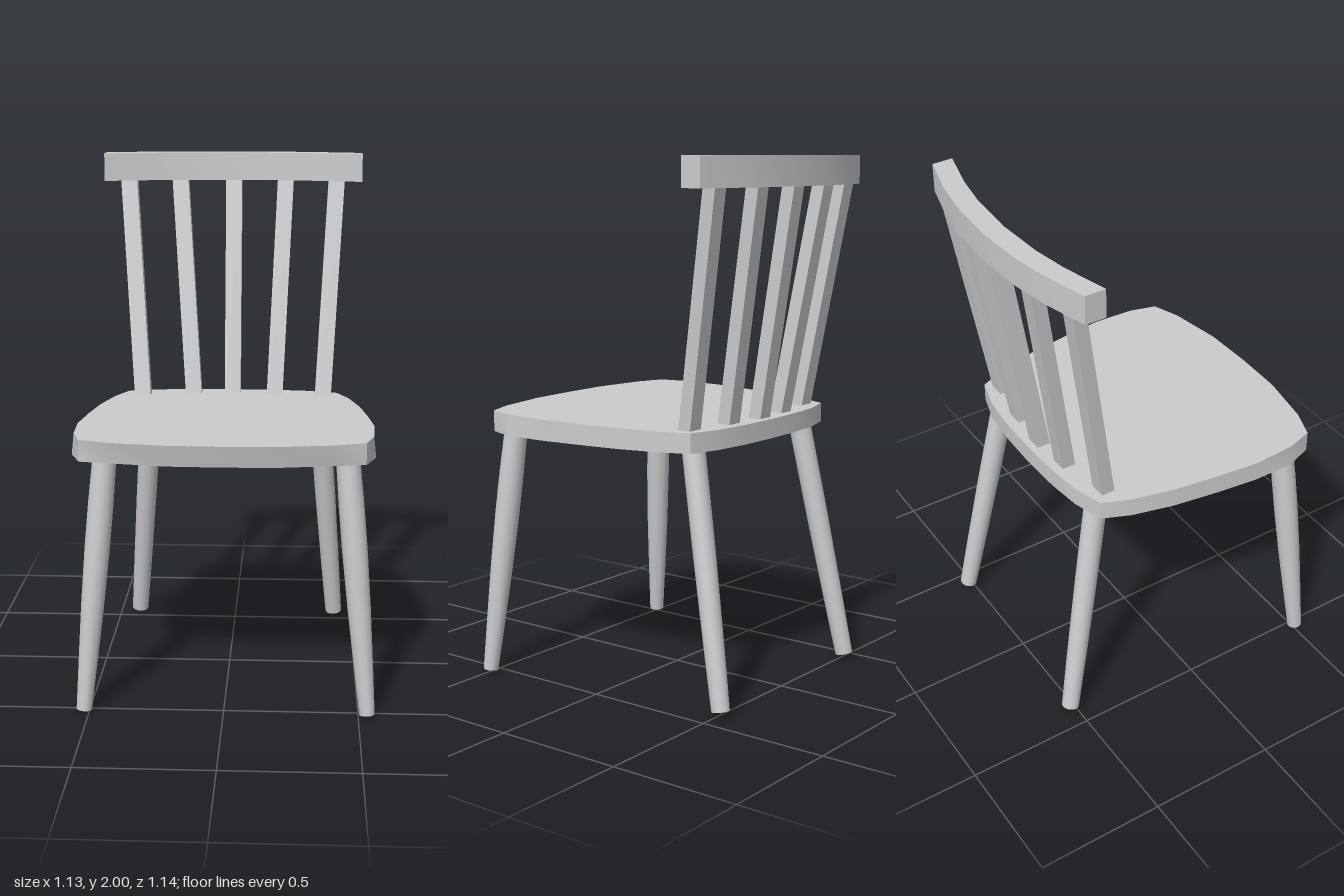
import * as THREE from 'three';
import { toCreasedNormals } from 'three/addons/utils/BufferGeometryUtils.js';

const material = new THREE.MeshStandardMaterial({ color: 0xcccccc });

function addMesh(group, name, geometry) {
  const mesh = new THREE.Mesh(geometry, material);
  mesh.name = name;
  group.add(mesh);
}

// Upright slab from an outline of [x, z] points
function slab(outline, y, height) {
  const shape = new THREE.Shape(outline.map(([x, z]) => new THREE.Vector2(x, -z)));
  return new THREE.ExtrudeGeometry(shape, { depth: height, bevelEnabled: false })
    .rotateX(-Math.PI / 2)
    .translate(0, y, 0);
}

// Seat: rounded outline, mirrored, with an undercut front edge
function seatGeometry() {
  const half = [
    [0, 0.57], [0.2, 0.565], [0.41, 0.53], [0.52, 0.49], [0.559, 0.385], [0.559, 0.22],
    [0.54, 0.05], [0.515, -0.12], [0.475, -0.28], [0.43, -0.385], [0.31, -0.42], [0.17, -0.435], [0, -0.44],
  ];
  const mirrored = half.slice(1, -1).reverse().map(([x, z]) => [-x, z]);
  const geometry = slab([...half, ...mirrored], 0.955, 0.08);
  const p = geometry.attributes.position;
  for (let i = 0; i < p.count; i++) {
    const z = p.getZ(i);
    if (p.getY(i) < 1) {
      if (z > 0.5) p.setZ(i, z - 0.02);
    } else {
      p.setY(i, 1.032 + z * 0.008);
      if (z > 0.3 && z < 0.45) p.setX(i, p.getX(i) * 0.985);
    }
  }
  geometry.translate(-0.006, 0, 0);
  return toCreasedNormals(geometry, 0.35);
}

// Curved top rail
function railGeometry() {
  const xs = [-0.519, -0.34, -0.2, 0, 0.2, 0.34, 0.519];
  const back = xs.map((x) => [x, -0.573 + 0.31 * x * x]);
  const front = xs.map((x) => [x, -0.49 + 0.3 * x * x]).reverse();
  return toCreasedNormals(slab([...back, ...front], 1.89, 0.11).translate(-0.006, 0, 0), 0.5);
}

// Turned leg between two points, swelling below the seat and tapering to the foot
function legGeometry(bottom, top, profile) {
  const axis = top.clone().sub(bottom);
  const length = axis.length();
  const points = [new THREE.Vector2(0, 0), ...profile.map(([r, t]) => new THREE.Vector2(r, t * length)),
    new THREE.Vector2(0, length)];
  const geometry = toCreasedNormals(new THREE.LatheGeometry(points, 20), 0.6);
  const turn = new THREE.Quaternion().setFromUnitVectors(new THREE.Vector3(0, 1, 0), axis.normalize());
  return geometry.applyQuaternion(turn).translate(bottom.x, bottom.y, bottom.z);
}

// Square spindle whose section stays level while it leans
function spindleGeometry(x0, x1, z0, z1) {
  const yLow = 1.02, yHigh = 1.9;
  const geometry = new THREE.BoxGeometry(0.065, yHigh - yLow, 0.053);
  const p = geometry.attributes.position;
  for (let i = 0; i < p.count; i++) {
    const t = p.getY(i) > 0 ? 1 : 0;
    p.setXYZ(i, p.getX(i) + x0 + (x1 - x0) * t, t ? yHigh : yLow, p.getZ(i) + z0 + (z1 - z0) * t);
  }
  geometry.computeVertexNormals();
  return geometry;
}

export function createModel() {
  const chair = new THREE.Group();
  chair.name = 'chair';
  addMesh(chair, 'seat', seatGeometry());
  addMesh(chair, 'topRail', railGeometry());

  const frontProfile = [[0.029, 0], [0.036, 0.2], [0.043, 0.42], [0.047, 0.65], [0.047, 0.82], [0.044, 1]];
  const backProfile = [[0.034, 0], [0.038, 0.25], [0.042, 0.6], [0.043, 1]];
  for (const side of [1, -1]) {
    const label = side > 0 ? 'Left' : 'Right';
    const at = (x, y, z) => new THREE.Vector3(side * x + 0.006, y, z);
    addMesh(chair, 'front' + label + 'Leg', legGeometry(at(0.527, 0.006, 0.515), at(0.443, 0.965, 0.436), frontProfile));
    addMesh(chair, 'back' + label + 'Leg', legGeometry(at(0.421, 0.032, -0.523), at(0.347, 0.965, -0.344), backProfile));
  }

  // Spindles: bottom x, top x, bottom z, top z
  const spindles = [
    [-0.37, -0.43, -0.329, -0.474],
    [-0.164, -0.224, -0.37, -0.513],
    [-0.005, -0.005, -0.383, -0.525],
    [0.168, 0.206, -0.366, -0.513],
    [0.365, 0.412, -0.334, -0.477],
  ];
  spindles.forEach((s, i) => addMesh(chair, 'spindle' + (i + 1), spindleGeometry(...s)));
  return chair;
}
